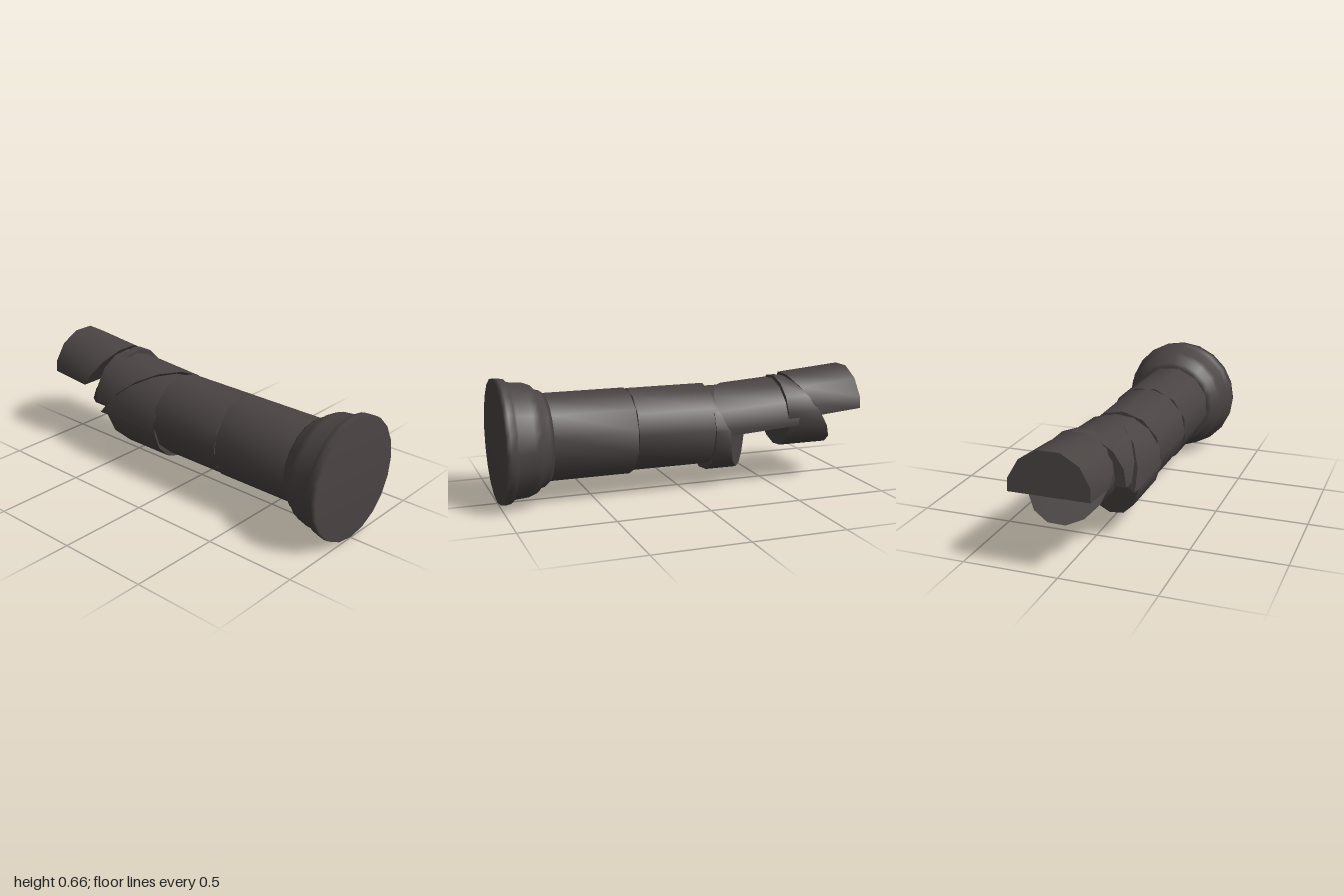
import * as THREE from 'three';
import { toCreasedNormals } from 'three/addons/utils/BufferGeometryUtils.js';

const stone = new THREE.MeshStandardMaterial({ color: 0x4a4443 });
stone.name = 'dark stone';

// Round outline in the xy plane, counter-clockwise from +z
function circle(cx, cy, r, sides, phase) {
  return Array.from({ length: sides }, (_, i) => {
    const a = (i / sides) * Math.PI * 2 + phase;
    return [cx + Math.cos(a) * r, cy + Math.sin(a) * r];
  });
}

// Keep the side of an outline where nx*x + ny*y >= d
function clip(outline, nx, ny, d) {
  const out = [];
  outline.forEach((p, i) => {
    const q = outline[(i + 1) % outline.length];
    const dp = nx * p[0] + ny * p[1] - d;
    const dq = nx * q[0] + ny * q[1] - d;
    if (dp >= 0) out.push(p);
    if (dp * dq < 0) {
      const t = dp / (dp - dq);
      out.push([p[0] + (q[0] - p[0]) * t, p[1] + (q[1] - p[1]) * t]);
    }
  });
  return out;
}

// Solid between two slanted end planes, given as z = f(x, y), with an optional tilt
function block(name, outline, frontZ, backZ, tilt = 0) {
  const place = (f) => outline.map(([x, y]) => {
    const z = f(x, y);
    return [x, y + tilt * z, z];
  });
  const front = place(frontZ), back = place(backZ);
  const pos = [];
  const n = outline.length;
  const tri = (a, b, c) => pos.push(...a, ...b, ...c);
  for (let i = 0; i < n; i++) {
    const j = (i + 1) % n;
    tri(front[i], back[i], front[j]);
    tri(front[j], back[i], back[j]);
    if (i > 0 && i < n - 1) {
      tri(front[0], front[i], front[i + 1]);
      tri(back[0], back[i + 1], back[i]);
    }
  }
  const geo = new THREE.BufferGeometry();
  geo.setAttribute('position', new THREE.Float32BufferAttribute(pos, 3));
  const mesh = new THREE.Mesh(toCreasedNormals(geo, 0.7), stone);
  mesh.name = name;
  return mesh;
}

export function createModel() {
  const group = new THREE.Group();
  group.name = 'fallenColumn';

  // Stepped round base, lying on its side
  const profile = [
    [0, 0.735], [0.235, 0.74], [0.255, 0.765], [0.262, 0.79], [0.285, 0.81],
    [0.3, 0.85], [0.307, 0.93], [0.325, 0.945], [0.33, 0.975], [0.328, 1], [0, 1],
  ].map(([r, z]) => new THREE.Vector2(r, z));
  const baseGeo = new THREE.LatheGeometry(profile, 20);
  baseGeo.rotateX(Math.PI / 2);
  baseGeo.translate(0, 0.33, 0);
  const base = new THREE.Mesh(baseGeo, stone);
  base.name = 'columnBase';
  group.add(base);

  // Two whole drums
  group.add(block('firstDrum', circle(-0.002, 0.333, 0.232, 12, 0.2), () => 0.745, () => 0.293));
  group.add(block('secondDrum', circle(-0.004, 0.337, 0.226, 12, 0.05), () => 0.287, () => -0.15));

  // Third drum, split along a diagonal crack
  const crack = (x, y) => -0.335 + 0.68 * x + 0.7 * (y - 0.4);
  const third = circle(0, 0.315, 0.232, 14, 0.1);
  group.add(block('thirdDrumLower', clip(third, 0.18, -1, -0.335),
    () => -0.14, (x) => -0.365 + 0.62 * x));
  group.add(block('thirdDrumUpper', clip(third, -0.18, 1, 0.335),
    () => -0.14, (x, y) => Math.min(-0.145, crack(x, y))));

  // Top half of the third drum, lifted off the crack
  group.add(block('thirdDrumFragment', clip(circle(0.02, 0.315, 0.228, 14, 0.1), 0, 1, 0.3),
    (x, y) => Math.min(-0.15, crack(x, y) + 0.005), () => -0.62, -0.065));

  // Fourth drum, broken into a lower wedge and an upper cap
  group.add(block('fourthDrumWedge', circle(0.05, 0.395, 0.2, 14, 0.1),
    (x, y) => -0.57 + 0.07 * (y - 0.2),
    (x, y) => Math.min(-0.585, -0.7 - 0.63 * (0.42 - y) - 0.2 * (x - 0.05))));
  group.add(block('fourthDrumCap', clip(circle(0.034, 0.335, 0.216, 12, 0.26), 0, 1, 0.325),
    (x, y) => -0.61 - 0.65 * (0.55 - y),
    (x, y) => -1 + 0.07 * (y - 0.33), -0.085));

  return group;
}
